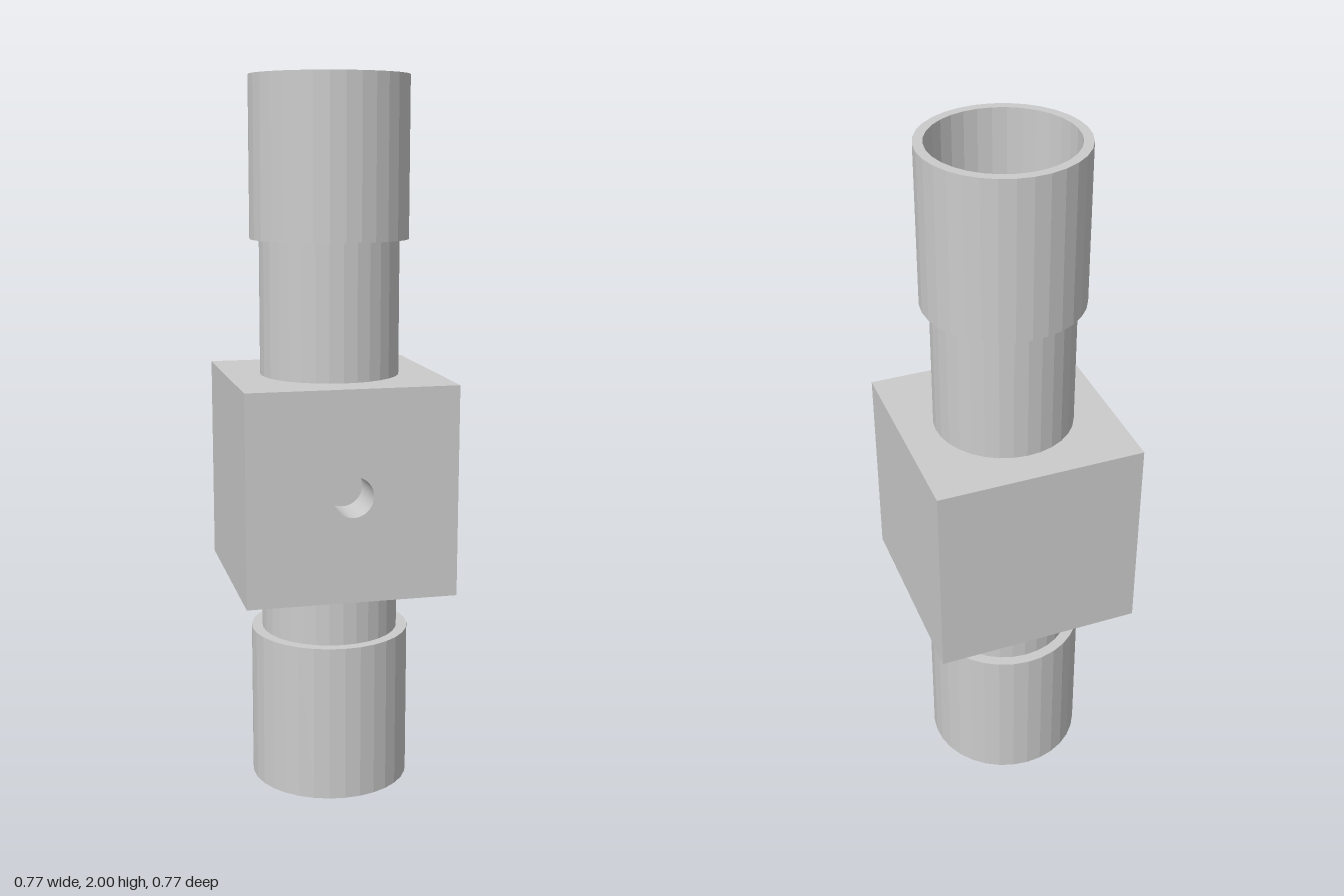
import * as THREE from 'three';

const SIDES = 32;
const BORE = 0.056, NECK = 0.195;
const HALF = 0.292, BLOCK_BOTTOM = 0.6, BLOCK_TOP = 1.185;
const HOLE_DEPTH = 0.13;

const material = new THREE.MeshStandardMaterial({ color: 0xcccccc, flatShading: true });

function addMesh(parent, geometry, name) {
  const mesh = new THREE.Mesh(geometry, material);
  mesh.name = name;
  parent.add(mesh);
  return mesh;
}

// Rectangle with a round hole at the given centre, extruded along z
function drilledSlab(x0, y0, x1, y1, cx, cy, depth) {
  const shape = new THREE.Shape([
    new THREE.Vector2(x0, y0), new THREE.Vector2(x1, y0),
    new THREE.Vector2(x1, y1), new THREE.Vector2(x0, y1),
  ]);
  shape.holes.push(new THREE.Path().absarc(cx, cy, BORE, 0, Math.PI * 2, true));
  return new THREE.ExtrudeGeometry(shape, { depth, bevelEnabled: false, curveSegments: SIDES });
}

// Bored neck that steps out to an open socket; runs up or down from the block
function fitting(blockY, stepY, endY, radius) {
  const profile = [
    [BORE, blockY], [NECK, blockY], [NECK, stepY], [radius, stepY], [radius, endY],
    [NECK, endY], [NECK, stepY], [BORE, stepY], [BORE, blockY],
  ].map(([r, y]) => new THREE.Vector2(r, y));
  if (endY < blockY) profile.reverse();
  return new THREE.LatheGeometry(profile, SIDES);
}

export function createModel() {
  const group = new THREE.Group();
  group.name = 'pipeFitting';

  // Turned cube: rear part carries the vertical bore, front part the blind port
  const block = new THREE.Group();
  block.name = 'block';
  block.rotation.y = 0.416;
  group.add(block);

  const height = BLOCK_TOP - BLOCK_BOTTOM;
  const rear = drilledSlab(-HALF, HOLE_DEPTH - HALF, HALF, HALF, 0, 0, height);
  rear.rotateX(-Math.PI / 2);
  addMesh(block, rear, 'blockBody').position.y = BLOCK_BOTTOM;

  const front = drilledSlab(-HALF, BLOCK_BOTTOM, HALF, BLOCK_TOP,
    0, (BLOCK_BOTTOM + BLOCK_TOP) / 2, HOLE_DEPTH);
  addMesh(block, front, 'portFace').position.z = HALF - HOLE_DEPTH;

  // Upper and lower necks with their sockets
  addMesh(group, fitting(BLOCK_TOP, 1.56, 2, 0.221), 'upperSocket');
  addMesh(group, fitting(BLOCK_BOTTOM, 0.445, 0, 0.226), 'lowerSocket');

  return group;
}
